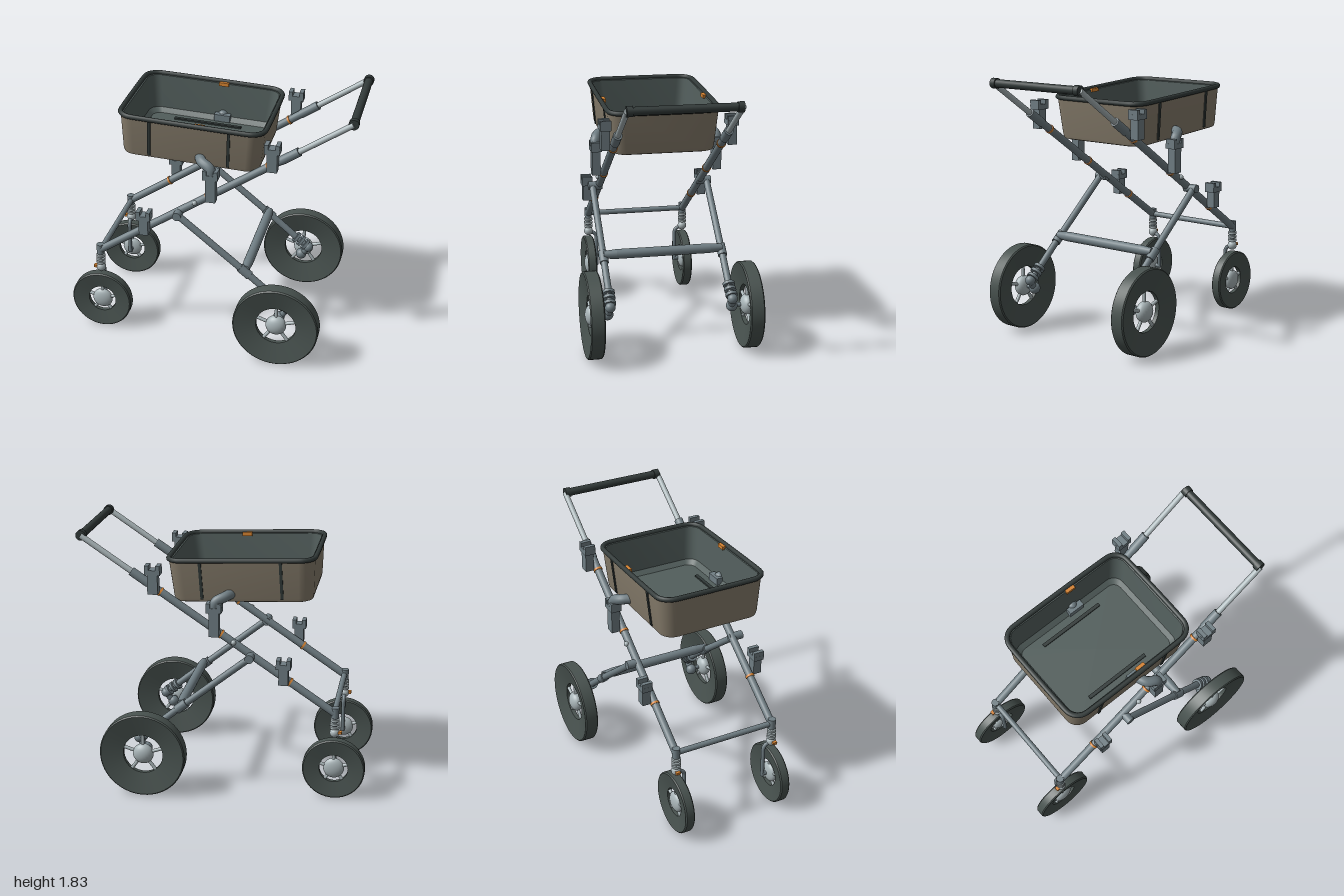
import * as THREE from 'three';
import { toCreasedNormals } from 'three/addons/utils/BufferGeometryUtils.js';

const material = (name, color, side = THREE.FrontSide) => {
  const m = new THREE.MeshStandardMaterial({ color, side });
  m.name = name;
  return m;
};
const steel = material('steel grey', 0x707e84);
const bright = material('bright metal', 0xa9b5b8);
const rubber = material('tyre rubber', 0x48524f);
const black = material('black trim', 0x323a39);
const tan = material('tan shell', 0x877d6c);
const lining = material('dark lining', 0x525e5c);
const orange = material('orange clip', 0xd98532);

const V = (x, y, z) => new THREE.Vector3(x, y, z);

function add(parent, name, geo, mat, pos) {
  const m = new THREE.Mesh(geo, mat);
  m.name = name;
  if (pos) m.position.copy(pos);
  parent.add(m);
  return m;
}
const box = (parent, name, mat, w, h, d, pos) =>
  add(parent, name, new THREE.BoxGeometry(w, h, d), mat, pos);
const ball = (parent, name, mat, r, pos) =>
  add(parent, name, new THREE.SphereGeometry(r, 24, 16), mat, pos);

// Round bar between two points
function rod(parent, name, mat, a, b, r0, r1 = r0) {
  const dir = b.clone().sub(a);
  const geo = new THREE.CylinderGeometry(r1, r0, dir.length(), 20);
  const m = add(parent, name, geo, mat, a.clone().lerp(b, 0.5));
  m.quaternion.setFromUnitVectors(V(0, 1, 0), dir.normalize());
  return m;
}

function bentTube(parent, name, mat, pts, r) {
  const curve = new THREE.CatmullRomCurve3(pts, false, 'centripetal');
  return add(parent, name, new THREE.TubeGeometry(curve, 24, r, 14), mat);
}

// Rounded rectangle ring at height y
function ring(hw, hd, r, y) {
  const pts = [];
  for (let q = 0; q < 4; q++) {
    const cx = (q === 0 || q === 3 ? 1 : -1) * (hw - r);
    const cz = (q < 2 ? 1 : -1) * (hd - r);
    for (let k = 0; k <= 7; k++) {
      const a = (q + k / 7) * Math.PI / 2;
      pts.push(V(cx + r * Math.cos(a), y, cz + r * Math.sin(a)));
    }
  }
  return pts;
}

// Skin through a list of rings
function loft(rings) {
  const pos = [];
  const n = rings[0].length;
  for (let i = 0; i + 1 < rings.length; i++) {
    for (let j = 0; j < n; j++) {
      const k = (j + 1) % n;
      const a = rings[i][j], b = rings[i][k], c = rings[i + 1][k], d = rings[i + 1][j];
      for (const p of [a, d, c, a, c, b]) pos.push(p.x, p.y, p.z);
    }
  }
  const geo = new THREE.BufferGeometry();
  geo.setAttribute('position', new THREE.Float32BufferAttribute(pos, 3));
  return toCreasedNormals(geo, 0.6);
}

// Wheel with dished tyre, spokes and round hub, axle along z
function wheel(parent, name, R, hole, hw, pos) {
  const g = new THREE.Group();
  g.name = name;
  g.position.copy(pos);
  parent.add(g);
  const e = 0.008, t = 0.015;
  const profile = [[hole, -t], [R - e, -hw], [R, -hw + e], [R, hw - e], [R - e, hw], [hole, t], [hole, -t]]
    .map(([r, y]) => new THREE.Vector2(r, y));
  const tyre = toCreasedNormals(new THREE.LatheGeometry(profile, 56), 0.6);
  add(g, 'tyre', tyre.rotateX(Math.PI / 2), rubber);
  ball(g, 'hub', bright, 0.073, V(0, 0, 0)).scale.z = hw / 0.075;
  for (let i = 0; i < 5; i++) {
    const a = (i / 5) * Math.PI * 2 + 0.3;
    const c = Math.cos(a), s = Math.sin(a), r = hole + 0.01;
    rod(g, 'spoke', bright, V(0.05 * c, 0.05 * s, 0), V(r * c, r * s, 0), 0.012);
  }
}

function tray(parent) {
  const g = new THREE.Group();
  g.name = 'tray';
  g.position.set(-0.127, 1.53, 0);
  g.rotation.z = -0.05;
  parent.add(g);
  add(g, 'trayShell', loft([
    ring(0, 0, 0, -0.15), ring(0.455, 0.335, 0.08, -0.15), ring(0.472, 0.352, 0.09, -0.143),
    ring(0.477, 0.358, 0.09, -0.12), ring(0.497, 0.383, 0.1, 0.145)]), tan);
  add(g, 'trayLining', loft([
    ring(0.497, 0.383, 0.1, 0.146), ring(0.475, 0.36, 0.08, 0.14), ring(0.455, 0.338, 0.08, -0.1),
    ring(0.425, 0.305, 0.06, -0.13), ring(0, 0, 0, -0.13)]), lining);
  const path = new THREE.CatmullRomCurve3(ring(0.498, 0.381, 0.1, 0.147), true);
  add(g, 'trayRim', new THREE.TubeGeometry(path, 160, 0.017, 10, true), black);
  for (const s of [1, -1]) {
    for (const x of [-0.275, 0.27]) {
      box(g, 'sideStrap', black, 0.02, 0.265, 0.014, V(x, 0.005, s * 0.371)).rotation.x = s * 0.095;
    }
    box(g, 'floorRib', black, 0.485, 0.012, 0.024, V(-0.015, -0.125, s * 0.24));
    box(g, 'innerMount', steel, 0.115, 0.05, 0.045, V(0.075, -0.1, s * 0.312));
    box(g, 'rimClip', orange, 0.07, 0.025, 0.028, V(0.065, 0.138, s * 0.358));
  }
}

// Upright clip post with a forked head
function post(parent, x, y, h, w, s) {
  const g = new THREE.Group();
  g.name = 'clipPost';
  g.position.set(x, y, s * 0.43);
  parent.add(g);
  const body = h - 0.06;
  box(g, 'postBody', steel, w, body, 0.06, V(0, body / 2, 0));
  box(g, 'postHead', steel, w + 0.035, 0.035, 0.075, V(0, body + 0.012, 0));
  for (const d of [-1, 1]) {
    box(g, 'postProng', steel, 0.028, 0.035, 0.075, V(d * (w / 2 + 0.003), h - 0.017, 0));
  }
}

const railY = x => 0.63 + (x + 0.78) * 0.669;

function frameSide(parent, s) {
  const P = (x, y, z) => V(x, y, z * s);
  const onRail = x => P(x, railY(x), 0.37);

  // Long rail, sleeve and handle tube
  rod(parent, 'rail', steel, onRail(-0.78), onRail(0.52), 0.027);
  rod(parent, 'railSleeve', steel, onRail(0.5), onRail(0.62), 0.031);
  rod(parent, 'handleTube', bright, onRail(0.6), onRail(0.965), 0.02);
  ball(parent, 'railBolt', bright, 0.018, P(-0.085, railY(-0.085) + 0.01, 0.395));

  // Clip posts with their clamps
  for (const [x, h, w] of [[-0.435, 0.18, 0.065], [0.04, 0.235, 0.07], [0.455, 0.2, 0.07]]) {
    post(parent, x, railY(x) - 0.02, h, w, s);
    rod(parent, 'clampRing', orange, onRail(x - 0.042), onRail(x - 0.03), 0.032);
  }
  bentTube(parent, 'trayElbow', steel,
    [P(-0.06, 1.435, 0.34), P(-0.03, 1.43, 0.4), P(0.03, 1.4, 0.43), P(0.045, 1.33, 0.43)], 0.035);
  ball(parent, 'elbowEnd', steel, 0.035, P(-0.06, 1.435, 0.34));

  // Hinge and rear leg
  rod(parent, 'hinge', steel, P(-0.2, 1.01, 0.35), P(-0.2, 1.01, 0.45), 0.03);
  rod(parent, 'rearLeg', steel, P(-0.2, 1.01, 0.42), P(0.3, 0.605, 0.42), 0.024);
  rod(parent, 'legSleeve', steel, P(0.24, 0.654, 0.42), P(0.31, 0.597, 0.42), 0.032);
  rod(parent, 'legEnd', steel, P(0.3, 0.605, 0.42), P(0.5, 0.436, 0.42), 0.024);

  // Rear suspension and axle
  const top = P(0.47, 0.461, 0.42), end = P(0.58, 0.37, 0.425);
  rod(parent, 'shockCore', steel, top, end, 0.02);
  for (let i = 0; i < 3; i++) {
    rod(parent, 'shockRing', steel, top.clone().lerp(end, 0.1 + i * 0.3),
      top.clone().lerp(end, 0.25 + i * 0.3), 0.042);
  }
  ball(parent, 'shockEnd', steel, 0.036, end);
  rod(parent, 'axleBracket', steel, end, P(0.525, 0.29, 0.435), 0.024);
  ball(parent, 'axleJoint', steel, 0.04, P(0.525, 0.3, 0.435));
  rod(parent, 'rearAxle', steel, P(0.525, 0.305, 0.43), P(0.525, 0.305, 0.54), 0.016);
  wheel(parent, 'rearWheel', 0.3, 0.14, 0.05, P(0.525, 0.303, 0.543));

  // Front caster
  const cx = -0.785;
  rod(parent, 'casterHead', steel, P(cx, 0.595, 0.37), P(cx, 0.67, 0.37), 0.027);
  rod(parent, 'casterPost', steel, P(cx, 0.47, 0.37), P(cx, 0.6, 0.37), 0.018);
  for (const y of [0.525, 0.552, 0.58]) {
    rod(parent, 'springRing', bright, P(cx, y - 0.008, 0.37), P(cx, y + 0.008, 0.37), 0.032);
  }
  ball(parent, 'casterBall', bright, 0.034, P(cx, 0.485, 0.37));
  box(parent, 'casterClip', orange, 0.03, 0.018, 0.03, P(cx - 0.035, 0.49, 0.375));
  bentTube(parent, 'fork', steel,
    [P(cx, 0.475, 0.38), P(cx, 0.468, 0.33), P(cx, 0.445, 0.312), P(cx, 0.4, 0.31), P(cx, 0.205, 0.31)], 0.014);
  rod(parent, 'frontAxle', steel, P(cx, 0.22, 0.305), P(cx, 0.22, 0.37), 0.016);
  wheel(parent, 'frontWheel', 0.217, 0.1, 0.035, P(cx, 0.219, 0.37));
}

export function createModel() {
  const model = new THREE.Group();
  model.name = 'cart';
  for (const s of [1, -1]) frameSide(model, s);
  tray(model);

  // Cross bars and grip
  rod(model, 'frontCrossBar', steel, V(-0.78, 0.63, -0.37), V(-0.78, 0.63, 0.37), 0.02);
  rod(model, 'rearCrossBar', steel, V(0.28, 0.645, -0.33), V(0.28, 0.645, 0.33), 0.034);
  for (const s of [1, -1]) {
    rod(model, 'crossBarEnd', steel, V(0.28, 0.645, s * 0.33), V(0.28, 0.645, s * 0.42), 0.034, 0.026);
    rod(model, 'gripCap', black, V(0.965, 1.798, s * 0.335), V(0.965, 1.798, s * 0.375), 0.035);
  }
  rod(model, 'handleGrip', black, V(0.965, 1.798, -0.34), V(0.965, 1.798, 0.34), 0.028);
  return model;
}
